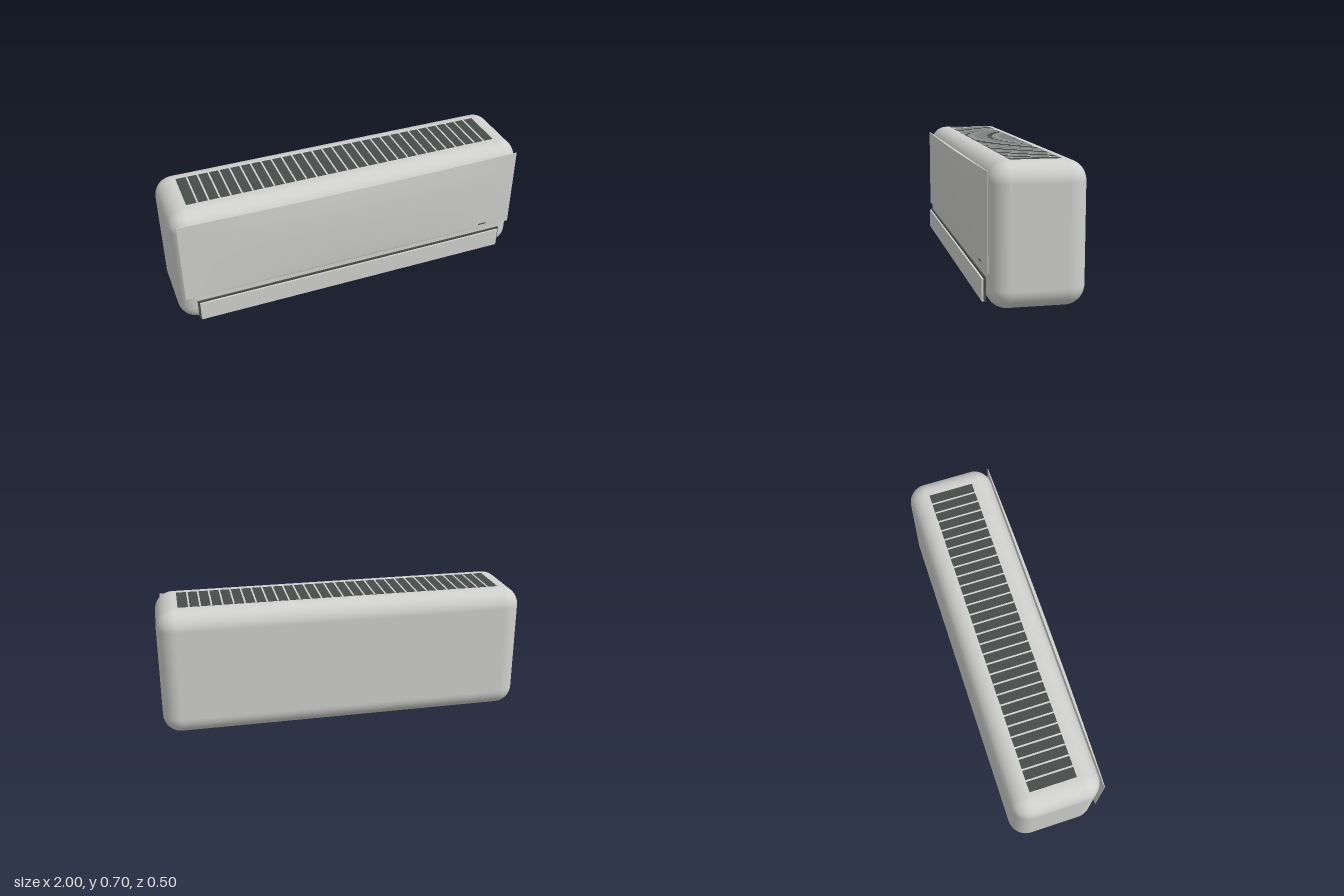
import * as THREE from 'three';
import { RoundedBoxGeometry } from 'three/addons/geometries/RoundedBoxGeometry.js';

export function createModel() {
  const group = new THREE.Group();
  const shell = new THREE.MeshStandardMaterial({ color: 0xd0d1ce });
  shell.name = 'shell grey';
  const dark = new THREE.MeshStandardMaterial({ color: 0x474d4c });
  dark.name = 'vent dark grey';

  function add(name, geometry, material, x, y, z, parent = group) {
    const mesh = new THREE.Mesh(geometry, material);
    mesh.name = name;
    mesh.position.set(x, y, z);
    parent.add(mesh);
    return mesh;
  }
  const box = (w, h, d) => new THREE.BoxGeometry(w, h, d);

  // Rounded housing
  add('housing', new RoundedBoxGeometry(2, 0.7, 0.48, 6, 0.1), shell, 0, 0.35, -0.01);

  // Front cover: a thin slab whose face bulges gently in both directions
  const profile = new THREE.SplineCurve([
    [0.185, 0.001], [0.205, 0.005], [0.3, 0.012], [0.4, 0.0165],
    [0.5, 0.0185], [0.58, 0.0175], [0.66, 0.012],
  ].map(([y, bulge]) => new THREE.Vector2(y, bulge)));
  const cover = new THREE.BoxGeometry(1.94, 1, 1, 32, 24, 1);
  const pos = cover.attributes.position;
  for (let i = 0; i < pos.count; i++) {
    const x = pos.getX(i);
    const p = profile.getPoint(THREE.MathUtils.clamp(pos.getY(i) + 0.5, 0, 1));
    const front = 0.234 + p.y * (1 - (x / 0.97) ** 2);
    pos.setXYZ(i, x, p.x, pos.getZ(i) > 0 ? front : 0.2305);
  }
  cover.computeVertexNormals();
  add('frontCover', cover, shell, 0, 0, 0);

  // Small indicator mark low on the cover
  add('indicator', box(0.05, 0.006, 0.004), dark, 0.795, 0.21, 0.2365);

  // Air outlet with its flap
  add('outlet', box(1.82, 0.12, 0.009), dark, 0, 0.095, 0.2335);
  add('outletFlap', box(1.8, 0.11, 0.01), shell, 0, 0.09, 0.243);

  // Intake grille on top, with evenly spaced ribs
  const grille = new THREE.Group();
  grille.name = 'intakeGrille';
  group.add(grille);
  const left = -0.885, width = 1.765, cells = 30;
  add('intake', box(width, 0.004, 0.25), dark, left + width / 2, 0.699, -0.015, grille);
  for (let i = 1; i < cells; i++) {
    add('grilleRib', box(0.009, 0.004, 0.25), shell, left + (width * i) / cells, 0.7005, -0.015, grille);
  }
  return group;
}
